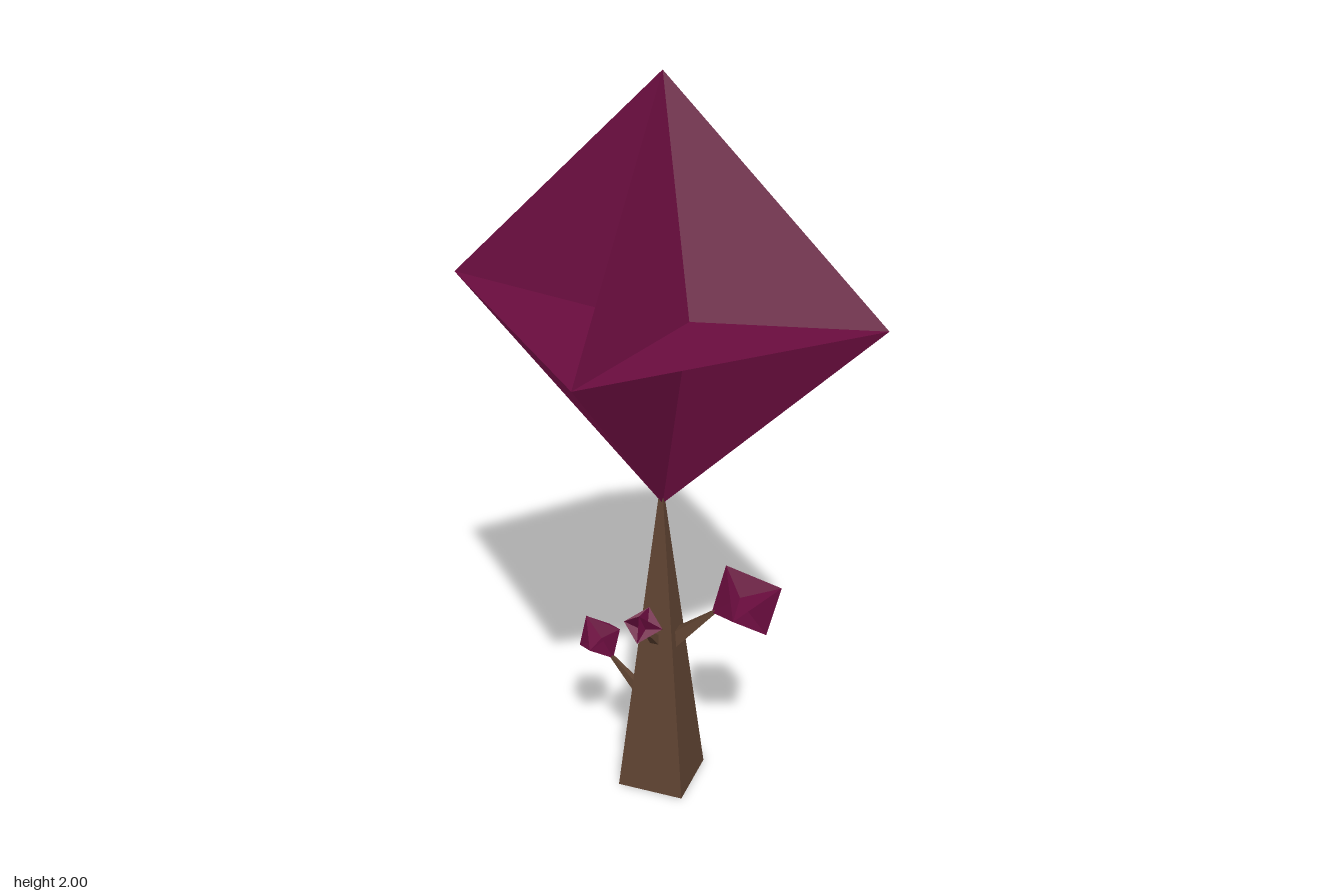
import * as THREE from 'three';

const leaf = new THREE.MeshStandardMaterial({ color: 0x6b0d3f, flatShading: true, side: THREE.DoubleSide });
const bark = new THREE.MeshStandardMaterial({ color: 0x604432, flatShading: true });

// Unit crown: four-pointed star bipyramid with flat webs between neighbouring tips
function crownGeometry() {
  const top = [0, 1, 0], bottom = [0, -1, 0], k = 0.19;
  const tips = [[1, 0, 0], [0, 0, 1], [-1, 0, 0], [0, 0, -1]];
  const pos = [];
  tips.forEach((a, i) => {
    const b = tips[(i + 1) % 4];
    const inner = [(a[0] + b[0]) * k, 0, (a[2] + b[2]) * k];
    pos.push(...top, ...inner, ...a, ...top, ...b, ...inner);
    pos.push(...bottom, ...a, ...inner, ...bottom, ...inner, ...b);
    pos.push(...a, ...inner, ...b);
  });
  const g = new THREE.BufferGeometry();
  g.setAttribute('position', new THREE.Float32BufferAttribute(pos, 3));
  g.computeVertexNormals();
  return g;
}

const UP = new THREE.Vector3(0, 1, 0);

// Crown spanning from its lower point to its upper point
function crown(name, from, to) {
  const a = new THREE.Vector3(...from), b = new THREE.Vector3(...to);
  const mesh = new THREE.Mesh(crownGeometry(), leaf);
  mesh.name = name;
  mesh.scale.setScalar(a.distanceTo(b) / 2);
  mesh.quaternion.setFromUnitVectors(UP, b.clone().sub(a).normalize());
  mesh.position.copy(a).lerp(b, 0.5);
  return mesh;
}

// Square tapered stem between two points, half-widths r0 to r1
function stem(name, from, to, r0, r1) {
  const a = new THREE.Vector3(...from), b = new THREE.Vector3(...to);
  const g = new THREE.CylinderGeometry(r1 * Math.SQRT2, r0 * Math.SQRT2, a.distanceTo(b), 4);
  g.rotateY(Math.PI / 4);
  const mesh = new THREE.Mesh(g, bark);
  mesh.name = name;
  mesh.quaternion.setFromUnitVectors(UP, b.clone().sub(a).normalize());
  mesh.position.copy(a).lerp(b, 0.5);
  return mesh;
}

export function createModel() {
  const tree = new THREE.Group();
  tree.name = 'tree';
  tree.add(stem('trunk', [-0.007, 0, 0], [-0.007, 0.9, 0], 0.093, 0.005));
  tree.add(crown('mainCrown', [-0.004, 0.868, 0], [-0.004, 2, 0]));

  // Side branches, each carrying a small crown
  const branches = [
    { name: 'left', base: [0.02, 0.452, 0], low: [0.135, 0.565, 0], high: [0.325, 0.68, 0], r: 0.021 },
    { name: 'right', base: [-0.05, 0.245, 0], low: [-0.15, 0.352, 0], high: [-0.228, 0.473, 0], r: 0.015 },
    { name: 'front', base: [-0.01, 0.462, 0.03], low: [-0.01, 0.525, 0.1], high: [-0.01, 0.615, 0.16], r: 0.014 },
  ];
  for (const { name, base, low, high, r } of branches) {
    const g = new THREE.Group();
    g.name = name + 'Branch';
    // Stem tip reaches slightly into the crown
    const end = low.map((v, i) => v + (high[i] - v) * 0.06);
    g.add(stem(name + 'Stem', base, end, r, 0.004), crown(name + 'Crown', low, high));
    tree.add(g);
  }
  return tree;
}
